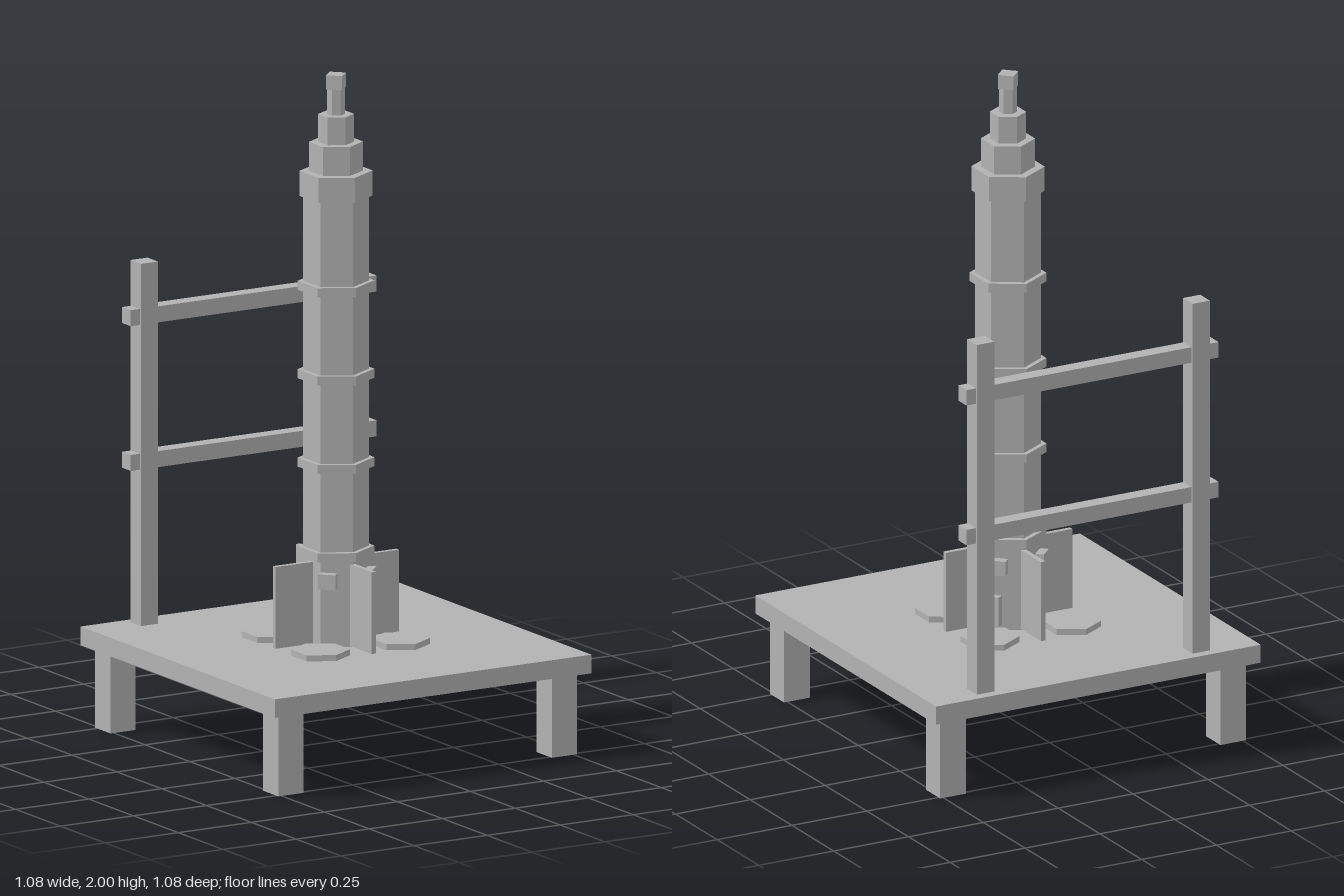
import * as THREE from 'three';

export function createModel() {
  const model = new THREE.Group();
  const grey = new THREE.MeshStandardMaterial({ color: 0xb2b2b2 });
  grey.name = 'plain grey';

  const add = (name, geometry, x, y, z, turn = 0) => {
    const mesh = new THREE.Mesh(geometry, grey);
    mesh.name = name;
    mesh.position.set(x, y, z);
    mesh.rotation.y = turn;
    model.add(mesh);
    return mesh;
  };
  const box = (name, w, h, d, x, y, z, turn) =>
    add(name, new THREE.BoxGeometry(w, h, d), x, y, z, turn);
  // Upright faceted column between two heights, with corners on the z axis
  const prism = (name, radius, y0, y1, x = 0, z = 0, sides = 6) => {
    const flat = new THREE.CylinderGeometry(radius, radius, y1 - y0, sides).toNonIndexed();
    flat.computeVertexNormals();
    return add(name, flat, x, (y0 + y1) / 2, z);
  };

  // Launch table
  box('platform', 1.084, 0.056, 1.084, 0, 0.273, 0);
  for (const sx of [-1, 1]) {
    for (const sz of [-1, 1]) {
      box('tableLeg', 0.086, 0.247, 0.086, sx * 0.468, 0.1235, sz * 0.468);
    }
  }

  // Gantry frame at the back
  for (const sx of [-1, 1]) box('gantryPost', 0.058, 1.087, 0.058, sx * 0.36, 0.8435, -0.483);
  for (const y of [0.793, 1.227]) box('gantryRail', 0.842, 0.048, 0.048, 0, y, -0.483);

  // Rocket body and its bands
  prism('body', 0.096, 0.3, 1.64);
  for (let i = 0; i < 4; i++) {
    const y = 0.572 + i * 0.265;
    prism('band', 0.112, y - 0.0135, y + 0.0135);
  }

  // Stepped nose
  prism('noseCollar', 0.107, 1.635, 1.71);
  prism('noseLower', 0.079, 1.71, 1.797);
  prism('noseUpper', 0.053, 1.797, 1.88);
  prism('noseRod', 0.026, 1.88, 1.96);
  prism('noseTip', 0.034, 1.957, 2, 0, 0, 4);

  // Four fins along the axes
  for (let i = 0; i < 4; i++) {
    const a = (i * Math.PI) / 2;
    box('fin', 0.14, 0.245, 0.015, Math.cos(a) * 0.141, 0.4265, -Math.sin(a) * 0.141, a);
  }

  // Diagonal blocks and exhaust pads
  for (let i = 0; i < 4; i++) {
    const a = Math.PI / 4 + (i * Math.PI) / 2;
    const x = Math.cos(a), z = -Math.sin(a);
    box('sideBlock', 0.026, 0.045, 0.052, x * 0.103, 0.502, z * 0.103, a);
    prism('exhaustPad', 0.086, 0.3, 0.319, x * 0.193, z * 0.193);
  }

  // Small hatch low on the back left corner
  box('hatch', 0.02, 0.09, 0.06, 0.085, 0.365, -0.052, Math.PI / 6);

  return model;
}
